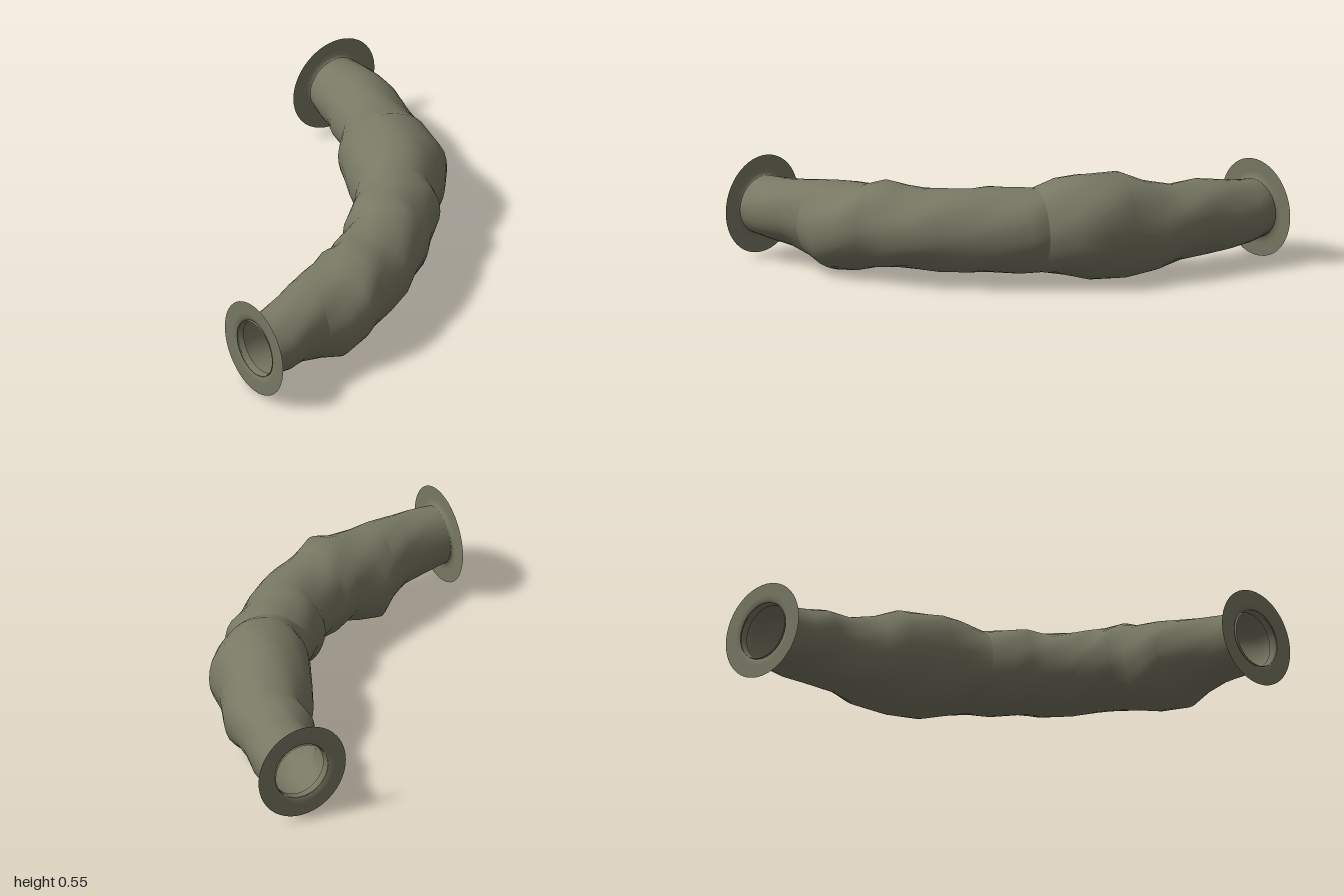
import * as THREE from 'three';

// Cross-sections along the bend: inner edge x, z, outer edge x, z, floor y, roof y
const SECTIONS = [
  [-1, -0.6, -1, -0.9, 0.11, 0.405],
  [-0.92, -0.58, -0.88, -0.93, 0.095, 0.415],
  [-0.8, -0.56, -0.75, -0.91, 0.085, 0.44],
  [-0.7, -0.51, -0.62, -0.88, 0.075, 0.46],
  [-0.57, -0.49, -0.47, -0.85, 0.065, 0.45],
  [-0.45, -0.38, -0.33, -0.83, 0.025, 0.48],
  [-0.35, -0.33, -0.16, -0.76, 0.005, 0.545],
  [-0.15, -0.23, 0, -0.73, 0.015, 0.547],
  [-0.05, -0.2, 0.11, -0.64, 0.045, 0.535],
  [0.03, -0.13, 0.2, -0.52, 0.06, 0.485],
  [0.11, -0.04, 0.29, -0.48, 0.055, 0.49],
  [0.15, 0.02, 0.4, -0.35, 0.055, 0.485],
  [0.22, 0.05, 0.5, -0.26, 0.06, 0.48],
  [0.29, 0.16, 0.6, -0.12, 0.055, 0.475],
  [0.31, 0.23, 0.7, 0, 0.06, 0.465],
  [0.34, 0.27, 0.76, 0.13, 0.06, 0.475],
  [0.37, 0.34, 0.82, 0.25, 0.05, 0.495],
  [0.4, 0.42, 0.87, 0.36, 0.02, 0.46],
  [0.405, 0.52, 0.89, 0.5, 0, 0.45],
  [0.46, 0.6, 0.875, 0.62, 0.05, 0.445],
  [0.54, 0.73, 0.89, 0.75, 0.085, 0.43],
  [0.58, 0.87, 0.922, 0.87, 0.1, 0.415],
  [0.605, 1, 0.905, 1, 0.11, 0.405],
];
const SIDES = 32;

// One stretch of rocky tube between two section numbers
function tunnelGeometry(from, to) {
  const positions = [], index = [];
  for (let i = from; i <= to; i++) {
    const [ix, iz, ox, oz, low, high] = SECTIONS[i];
    const ends = i === 0 || i === SECTIONS.length - 1 ? 0 : 1;
    for (let j = 0; j < SIDES; j++) {
      const a = (j / SIDES) * Math.PI * 2;
      // Lumps fade out at the sides, roof and floor
      const lump = 1 + ends * 0.045 * Math.sin(2 * a) ** 2 * Math.sin(3 * a + i * 1.9);
      const c = Math.cos(a) * lump / 2, s = Math.sin(a) * lump / 2;
      positions.push(
        (ix + ox) / 2 + c * (ox - ix),
        (low + high) / 2 + s * (high - low),
        (iz + oz) / 2 + c * (oz - iz));
    }
  }
  for (let i = 0; i < to - from; i++) {
    for (let j = 0; j < SIDES; j++) {
      const k = (j + 1) % SIDES;
      const a = i * SIDES + j, b = i * SIDES + k;
      index.push(a, b, a + SIDES, b, b + SIDES, a + SIDES);
    }
  }
  const geometry = new THREE.BufferGeometry();
  geometry.setAttribute('position', new THREE.Float32BufferAttribute(positions, 3));
  geometry.setIndex(index);
  geometry.computeVertexNormals();
  return geometry;
}

export function createModel() {
  const group = new THREE.Group();
  group.name = 'curvedTunnel';
  const rock = new THREE.MeshStandardMaterial({ color: 0x787864, side: THREE.DoubleSide });
  rock.name = 'greyGreenRock';

  // Three stretches, with a crease in the rock where they meet
  [['rearTunnel', 0, 9], ['middleTunnel', 9, 19], ['frontTunnel', 19, 22]].forEach(([name, from, to]) => {
    const mesh = new THREE.Mesh(tunnelGeometry(from, to), rock);
    mesh.name = name;
    group.add(mesh);
  });

  // Flat collar round each mouth, rolling slightly into the opening
  const profile = [[0.143, -0.04], [0.147, -0.012], [0.16, -0.001], [0.185, 0], [0.25, 0]]
    .map(([r, h]) => new THREE.Vector2(r, h));
  const collar = new THREE.LatheGeometry(profile.reverse(), 48);
  const frontCollar = new THREE.Mesh(collar, rock);
  frontCollar.name = 'frontCollar';
  frontCollar.rotation.x = Math.PI / 2;
  frontCollar.position.set(0.75, 0.258, 1);
  const rearCollar = new THREE.Mesh(collar, rock);
  rearCollar.name = 'rearCollar';
  rearCollar.rotation.z = Math.PI / 2;
  rearCollar.position.set(-1, 0.258, -0.75);
  group.add(frontCollar, rearCollar);
  return group;
}
